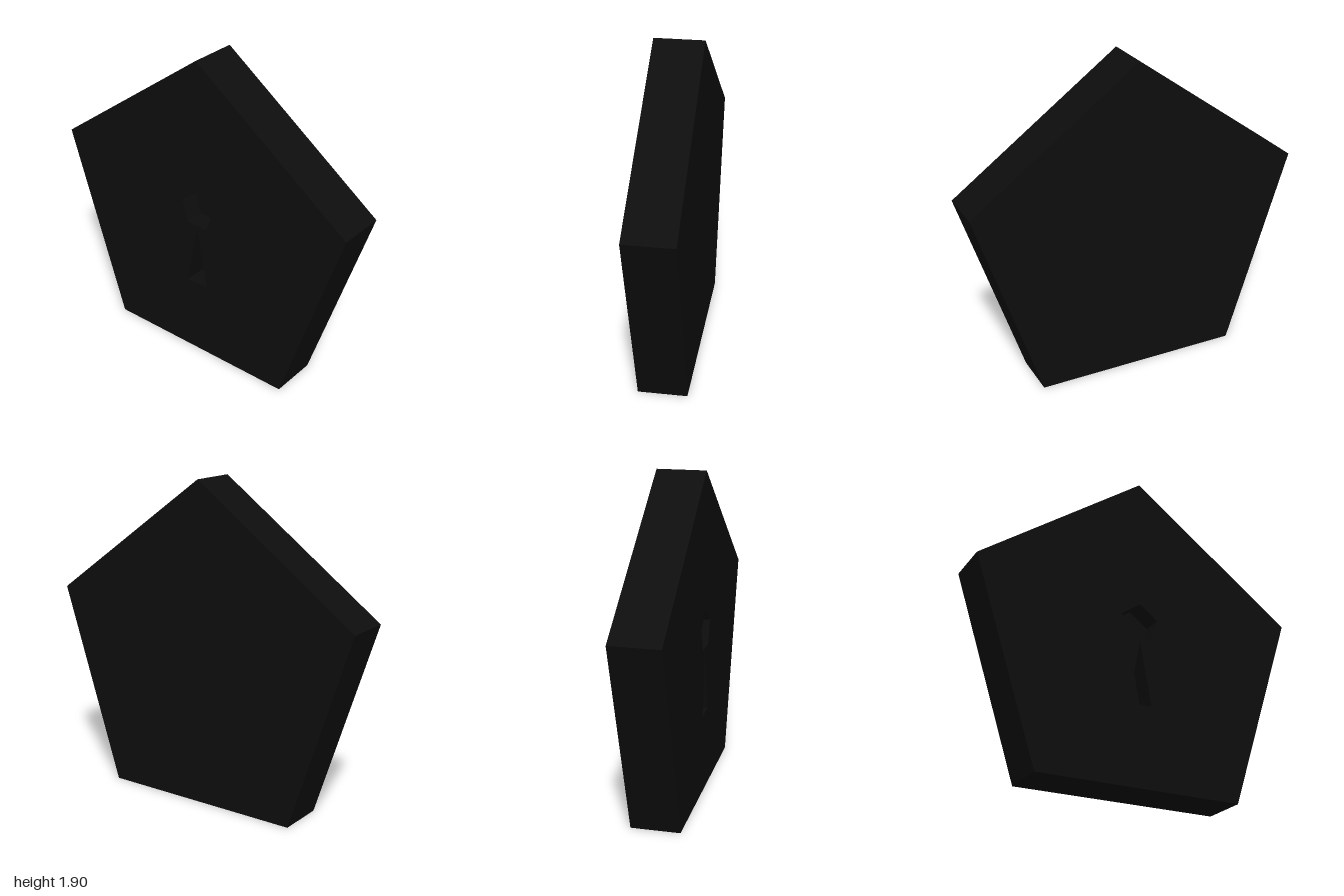
import * as THREE from 'three';

// Corners of an upright regular pentagon
function pentagon(radius, centreY) {
  return Array.from({ length: 5 }, (_, i) => {
    const a = Math.PI / 2 + (i * Math.PI * 2) / 5;
    return new THREE.Vector2(radius * Math.cos(a), centreY + radius * Math.sin(a));
  });
}

export function createModel() {
  const group = new THREE.Group();
  group.name = 'pentagonLock';
  const material = new THREE.MeshStandardMaterial({ color: 0x0d0d0d, flatShading: true });

  const outline = pentagon(1.0515, 0.8507);
  const halfDepth = 0.143;
  const pocketDepth = 0.12;
  const pocketZ = halfDepth - pocketDepth;

  // Keyhole: small pentagon above a narrow triangle
  const keyholeTop = new THREE.Path(pentagon(0.12, 0.977));
  const keyholeSlot = new THREE.Path([
    new THREE.Vector2(0, 0.865),
    new THREE.Vector2(-0.072, 0.48),
    new THREE.Vector2(0.072, 0.48),
  ]);

  function addSlab(name, z0, z1, holes) {
    const shape = new THREE.Shape(outline);
    shape.holes.push(...holes);
    const geometry = new THREE.ExtrudeGeometry(shape, { depth: z1 - z0, bevelEnabled: false });
    geometry.translate(0, 0, z0);
    const mesh = new THREE.Mesh(geometry, material);
    mesh.name = name;
    group.add(mesh);
  }

  // Solid back closes the pocket cut through the front plate
  addSlab('backPlate', -halfDepth, pocketZ, []);
  addSlab('keyholePlate', pocketZ, halfDepth, [keyholeTop, keyholeSlot]);

  return group;
}
